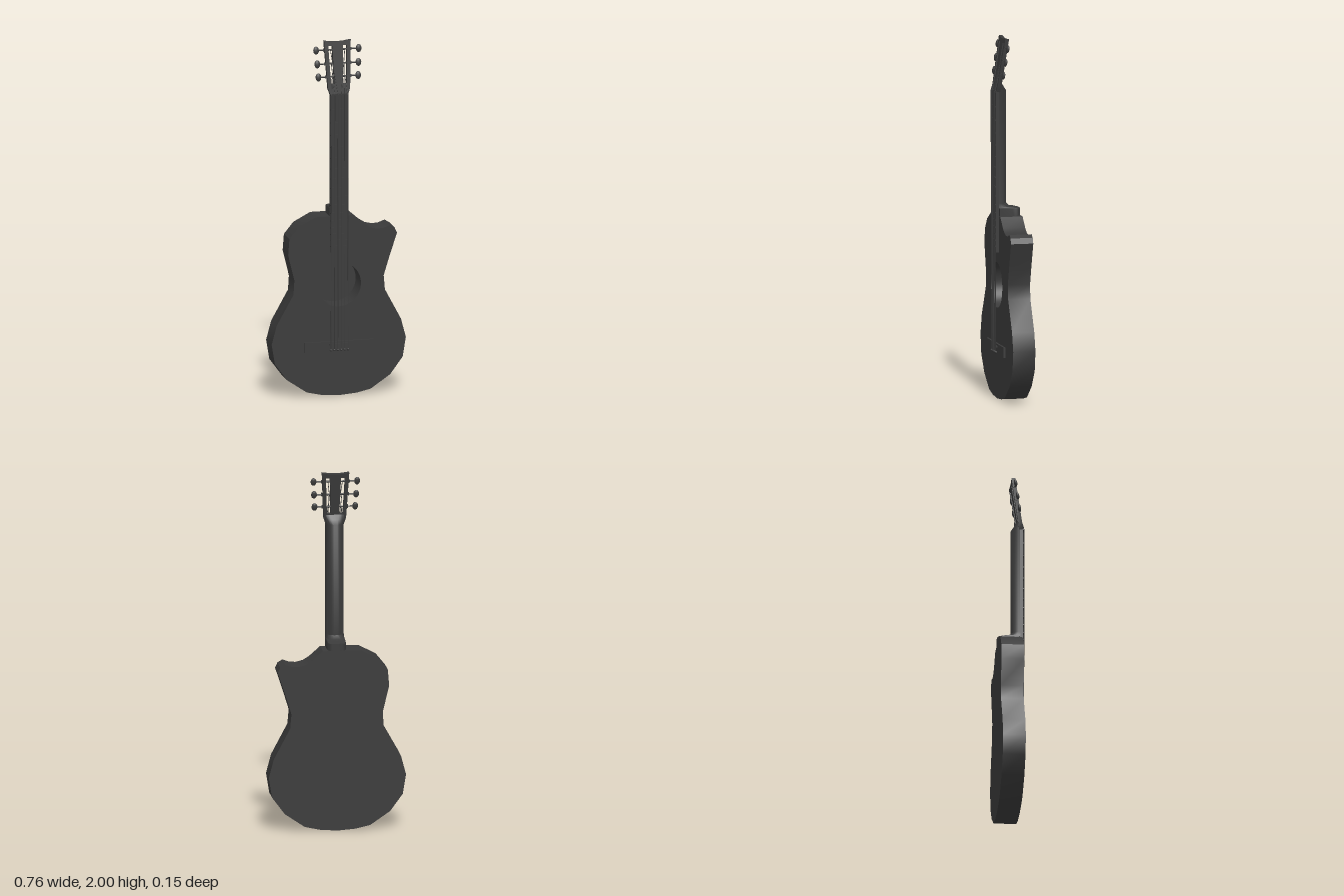
import * as THREE from 'three';
import { toCreasedNormals } from 'three/addons/utils/BufferGeometryUtils.js';

const material = new THREE.MeshStandardMaterial({ color: 0x3a3a3a });

function add(parent, name, geometry, x = 0, y = 0, z = 0) {
  const mesh = new THREE.Mesh(geometry, material);
  mesh.name = name;
  mesh.position.set(x, y, z);
  parent.add(mesh);
  return mesh;
}

// Thin cylinder between two points
function rod(parent, name, a, b, radius, sides = 6) {
  const from = new THREE.Vector3(...a), to = new THREE.Vector3(...b);
  const dir = to.clone().sub(from);
  const mesh = add(parent, name, new THREE.CylinderGeometry(radius, radius, dir.length(), sides));
  mesh.position.copy(from).add(to).multiplyScalar(0.5);
  mesh.quaternion.setFromUnitVectors(new THREE.Vector3(0, 1, 0), dir.normalize());
  return mesh;
}

const polygon = (points) => new THREE.Shape(points.map(([x, y]) => new THREE.Vector2(x, y)));

function extrude(shape, depth) {
  const g = new THREE.ExtrudeGeometry(shape, { depth, bevelEnabled: false, curveSegments: 32 });
  return toCreasedNormals(g, 0.6);
}

// Neck: D-shaped cross-sections lofted along y.
// Each section is [y, flat front z, rounded back z, half width, roundness]
function neckGeometry() {
  const sections = [
    [0.98, 0.045, -0.075, 0.052, 0.35], [1.055, 0.045, -0.075, 0.052, 0.35],
    [1.062, 0.05, -0.05, 0.052, 0.45], [1.066, 0.05, -0.02, 0.051, 0.7],
    [1.085, 0.05, 0, 0.05, 1], [1.705, 0.05, 0, 0.05, 1],
    [1.73, 0.05, 0.017, 0.055, 0.8], [1.755, 0.05, 0.034, 0.058, 0.6],
  ];
  const n = 16, pos = [], index = [];
  for (const [y, front, back, w, p] of sections) {
    for (let i = 0; i <= n; i++) {
      const a = (i / n) * Math.PI, c = Math.cos(a), s = Math.sin(a);
      pos.push(w * Math.sign(c) * Math.abs(c) ** p, y, front - (front - back) * Math.max(s, 0) ** p);
    }
  }
  const m = n + 1;
  for (let r = 0; r < sections.length - 1; r++) {
    for (let i = 0; i < m; i++) {
      const j = (i + 1) % m, a = r * m, b = a + m;
      index.push(a + i, a + j, b + i, a + j, b + j, b + i);
    }
  }
  const top = (sections.length - 1) * m;
  for (let i = 1; i < n; i++) {
    index.push(0, i + 1, i, top, top + i, top + i + 1);
  }
  const g = new THREE.BufferGeometry();
  g.setAttribute('position', new THREE.Float32BufferAttribute(pos, 3));
  g.setIndex(index);
  return toCreasedNormals(g, 0.7);
}

export function createModel() {
  const guitar = new THREE.Group();
  guitar.name = 'guitar';

  // Body with a cutaway and an open sound hole
  const outline = polygon([
    [0, 0.004], [0.1, 0.012], [0.18, 0.03], [0.29, 0.105], [0.36, 0.2], [0.378, 0.31], [0.35, 0.415],
    [0.26, 0.585], [0.253, 0.665], [0.285, 0.77], [0.328, 0.9], [0.315, 0.93], [0.288, 0.946],
    [0.25, 0.932], [0.215, 0.93], [0.175, 0.94], [0.14, 0.962], [0.08, 1.015],
    [-0.13, 1.015], [-0.225, 0.965], [-0.278, 0.9], [-0.285, 0.81], [-0.25, 0.665],
    [-0.255, 0.585], [-0.35, 0.415], [-0.378, 0.31], [-0.36, 0.2], [-0.29, 0.105],
    [-0.18, 0.03], [-0.1, 0.012],
  ]);
  const hole = new THREE.Path();
  hole.absarc(0, 0.63, 0.125, 0, Math.PI * 2, true);
  outline.holes.push(hole);
  add(guitar, 'body', extrude(outline, 0.125), 0, 0, -0.075);
  const floor = add(guitar, 'soundHoleFloor', new THREE.CylinderGeometry(0.125, 0.125, 0.005, 64), 0, 0.63, -0.0725);
  floor.rotation.x = Math.PI / 2;

  // Bridge and saddle
  add(guitar, 'bridge', new THREE.BoxGeometry(0.39, 0.057, 0.011), 0, 0.283, 0.0555);
  add(guitar, 'saddle', new THREE.BoxGeometry(0.11, 0.008, 0.008), 0, 0.297, 0.064);

  // Neck, fingerboard, nut and frets
  add(guitar, 'neck', neckGeometry());
  add(guitar, 'fingerboard', new THREE.BoxGeometry(0.1, 0.885, 0.017), 0, 1.2575, 0.0575);
  add(guitar, 'nut', new THREE.BoxGeometry(0.1, 0.01, 0.022), 0, 1.703, 0.06);
  for (let i = 1; i <= 16; i++) {
    const y = 1.7 - 1.41 * (1 - 2 ** (-i / 12));
    add(guitar, 'fret', new THREE.BoxGeometry(0.1, 0.005, 0.005), 0, y, 0.067);
  }

  // Slotted headstock, tilted backwards
  const head = new THREE.Group();
  head.name = 'headstock';
  head.position.set(0, 1.7, 0.044);
  head.rotation.x = -0.149;
  guitar.add(head);
  const plate = polygon([
    [-0.05, 0], [0.05, 0], [0.062, 0.035], [0.075, 0.3], [0.035, 0.294], [0, 0.292],
    [-0.035, 0.294], [-0.075, 0.3], [-0.062, 0.035],
  ]);
  for (const s of [-1, 1]) {
    const slot = polygon([[s * 0.024, 0.06], [s * 0.044, 0.06], [s * 0.053, 0.27], [s * 0.03, 0.27]]);
    plate.holes.push(slot);
  }
  add(head, 'headstockPlate', extrude(plate, 0.021));

  // Tuners: a post across the slot, a shaft and an oval button
  const tunerHeights = [0.1, 0.172, 0.248];
  for (const s of [-1, 1]) {
    tunerHeights.forEach((v, i) => {
      const reach = 0.104 + i * 0.004;
      rod(head, 'tunerPost', [s * 0.022, v, 0.011], [s * 0.056, v, 0.011], 0.005, 8);
      rod(head, 'tunerShaft', [s * 0.056, v, 0.011], [s * reach, v, 0.011], 0.004, 8);
      add(head, 'tunerCollar', new THREE.BoxGeometry(0.006, 0.016, 0.014), s * (0.07 + i * 0.003), v, 0.011);
      const button = add(head, 'tunerButton', new THREE.SphereGeometry(1, 14, 10), s * (reach + 0.008), v, 0.011);
      button.scale.set(0.016, 0.022, 0.009);
    });
  }

  // Strings from bridge to nut, then down to the posts
  head.updateMatrix();
  for (let i = 0; i < 6; i++) {
    const x = -0.045 + i * 0.018, s = Math.sign(x);
    const v = tunerHeights[i < 3 ? i : 5 - i];
    const post = new THREE.Vector3(s * (0.033 + v * 0.03), v, 0.016).applyMatrix4(head.matrix);
    rod(guitar, 'string', [x * 1.08, 0.265, 0.069], [x, 1.703, 0.072], 0.002);
    rod(guitar, 'stringEnd', [x, 1.703, 0.072], post.toArray(), 0.002);
    add(guitar, 'stringBead', new THREE.SphereGeometry(0.007, 8, 6), x * 1.08, 0.265, 0.067);
  }
  return guitar;
}
